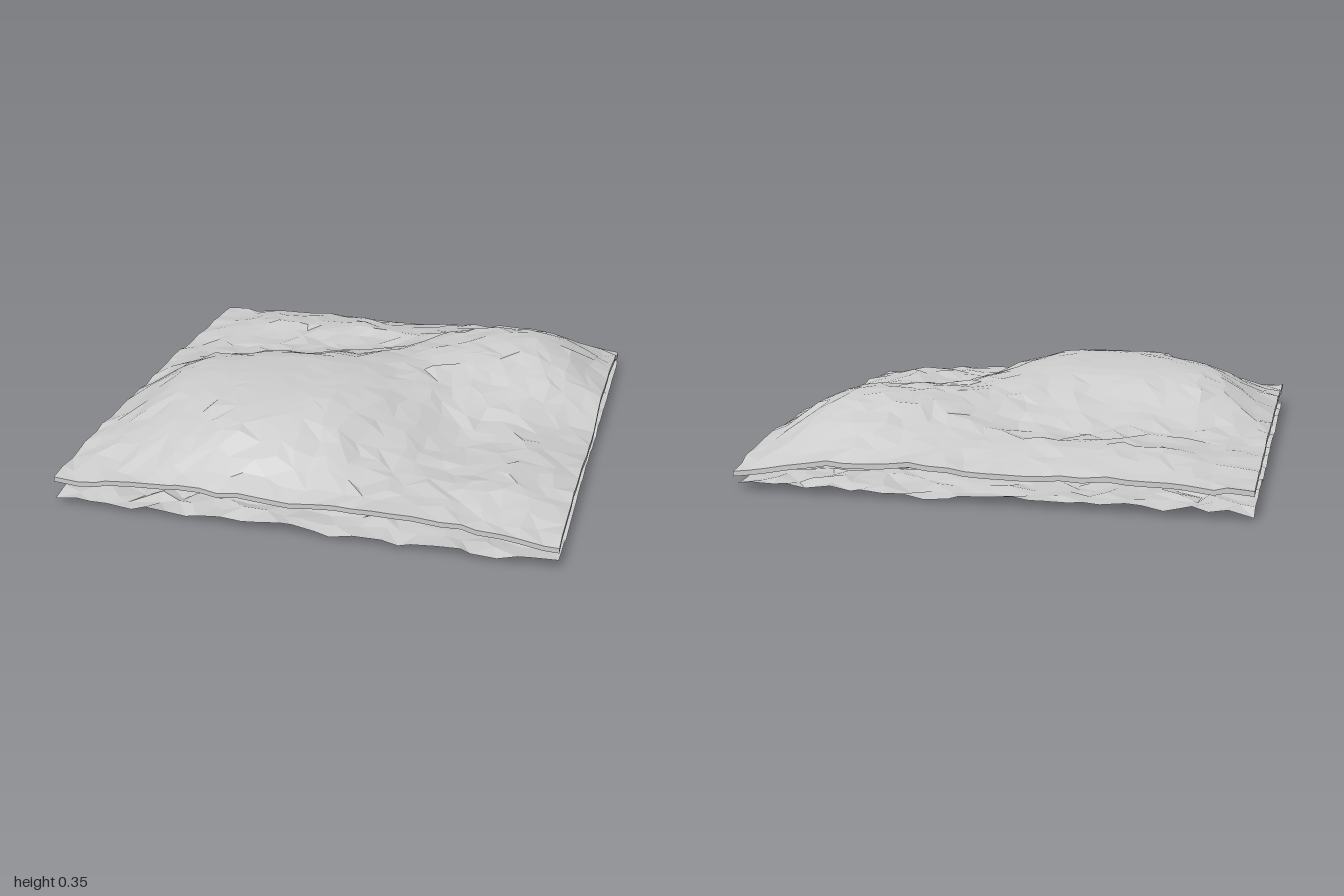
import * as THREE from 'three';

const N = 26; // cells per side of every sheet

// Ground heights, rows from back (z = -1) to front, columns from x = -1 to 1
const HEIGHTS = [
  [.11, .12, .13, .13, .125, .14, .14, .115, .08],
  [.12, .165, .185, .19, .19, .205, .25, .225, .125],
  [.13, .155, .17, .17, .195, .275, .31, .29, .145],
  [.14, .17, .20, .235, .265, .285, .295, .265, .155],
  [.135, .26, .305, .325, .32, .285, .225, .175, .10],
  [.14, .29, .335, .34, .34, .27, .155, .16, .105],
  [.14, .26, .32, .335, .325, .225, .145, .175, .125],
  [.13, .20, .27, .285, .25, .18, .15, .17, .12],
  [.11, .12, .15, .14, .13, .145, .14, .12, .10],
];

function seeded(seed) {
  return () => {
    seed = (seed * 1664525 + 1013904223) % 4294967296;
    return seed / 4294967296;
  };
}

// Catmull-Rom through one row of equally spaced values
function spline(v, t) {
  const i = Math.min(Math.floor(t), v.length - 2), f = t - i;
  const at = (k) => v[Math.max(0, Math.min(v.length - 1, k))];
  const a = at(i - 1), b = at(i), c = at(i + 1), d = at(i + 2);
  return b + 0.5 * f * (c - a + f * (2 * a - 5 * b + 4 * c - d + f * (3 * (b - c) + d - a)));
}

function hillHeight(x, z) {
  const u = (x + 1) * 4, w = (z + 1) * 4;
  return spline(HEIGHTS.map((row) => spline(row, u)), w);
}

// Square sheet with irregular facets; height(x, z, random) sets y
function sheet(seed, height) {
  const rnd = seeded(seed);
  const geo = new THREE.PlaneGeometry(2, 2, N, N).rotateX(-Math.PI / 2);
  const p = geo.attributes.position;
  const step = 2 / N;
  for (let i = 0; i < p.count; i++) {
    const jx = (rnd() - 0.5) * step * 0.65, jz = (rnd() - 0.5) * step * 0.65;
    let x = p.getX(i), z = p.getZ(i);
    if (Math.abs(x) < 0.999) x += jx;
    if (Math.abs(z) < 0.999) z += jz;
    p.setXYZ(i, x, height(x, z, rnd() - 0.5), z);
  }
  // Turn some of the cell diagonals for an uneven mesh
  const idx = geo.index.array;
  for (let k = 0; k < idx.length; k += 6) {
    if (rnd() < 0.5) continue;
    const a = idx[k], b = idx[k + 1], d = idx[k + 2], c = idx[k + 4];
    idx.set([a, b, c, a, c, d], k);
  }
  geo.computeVertexNormals();
  return geo;
}

// Vertical band closing the border between two matching sheets
function rimBand(top, bottom) {
  const border = [];
  const n = N + 1;
  for (let i = 0; i < N; i++) border.push(i);
  for (let i = 0; i < N; i++) border.push(i * n + N);
  for (let i = N; i > 0; i--) border.push(N * n + i);
  for (let i = N; i > 0; i--) border.push(i * n);
  const pos = [], index = [];
  border.forEach((id, k) => {
    for (const g of [top, bottom]) {
      const p = g.attributes.position;
      pos.push(p.getX(id), p.getY(id), p.getZ(id));
    }
    const a = 2 * k, b = 2 * ((k + 1) % border.length);
    index.push(a, b, a + 1, b, b + 1, a + 1);
  });
  const geo = new THREE.BufferGeometry();
  geo.setAttribute('position', new THREE.Float32BufferAttribute(pos, 3));
  geo.setIndex(index);
  geo.computeVertexNormals();
  return geo;
}

export function createModel() {
  const model = new THREE.Group();
  model.name = 'hillyGround';
  const material = new THREE.MeshStandardMaterial({
    color: 0xcccccc, flatShading: true, side: THREE.DoubleSide,
  });
  const add = (name, geo) => {
    const mesh = new THREE.Mesh(geo, material);
    mesh.name = name;
    model.add(mesh);
  };
  const inset = (x, z) => 1 - Math.max(Math.abs(x), Math.abs(z));

  // Upper slab: rolling hills, smoother on the high plateau
  const top = sheet(7, (x, z, r) => {
    const h = hillHeight(x, z);
    return h + r * (h > 0.31 ? 0.004 : 0.018);
  });

  // Its underside follows the border, then drops to a nearly flat bottom
  const under = sheet(7, (x, z, r) => {
    const h = hillHeight(x, z) + r * 0.018 - 0.02;
    const flat = 0.082 + r * 0.014 + 0.006 * Math.sin(6 * x) * Math.cos(5 * z);
    return THREE.MathUtils.lerp(h, Math.min(h, flat), Math.min(1, inset(x, z) / 0.15));
  });
  add('hillSurface', top);
  add('slabUnderside', under);
  add('slabRim', rimBand(top, under));

  // Lower layer: thin, crumpled sheet touching the ground at two dips
  const dip = (x, z) => 0.02 * Math.exp(-(x * x + z * z) / 0.01);
  const low = sheet(31, (x, z, r) =>
    r * 0.026 + 0.011 * Math.sin(7 * x + 3 * z) * Math.cos(6 * z - 2 * x)
    - dip(x + 0.65, z + 0.1) - dip(x - 0.65, z - 0.65));
  low.computeBoundingBox();
  low.translate(0, -low.boundingBox.min.y, 0);
  add('lowerSheet', low);
  return model;
}
